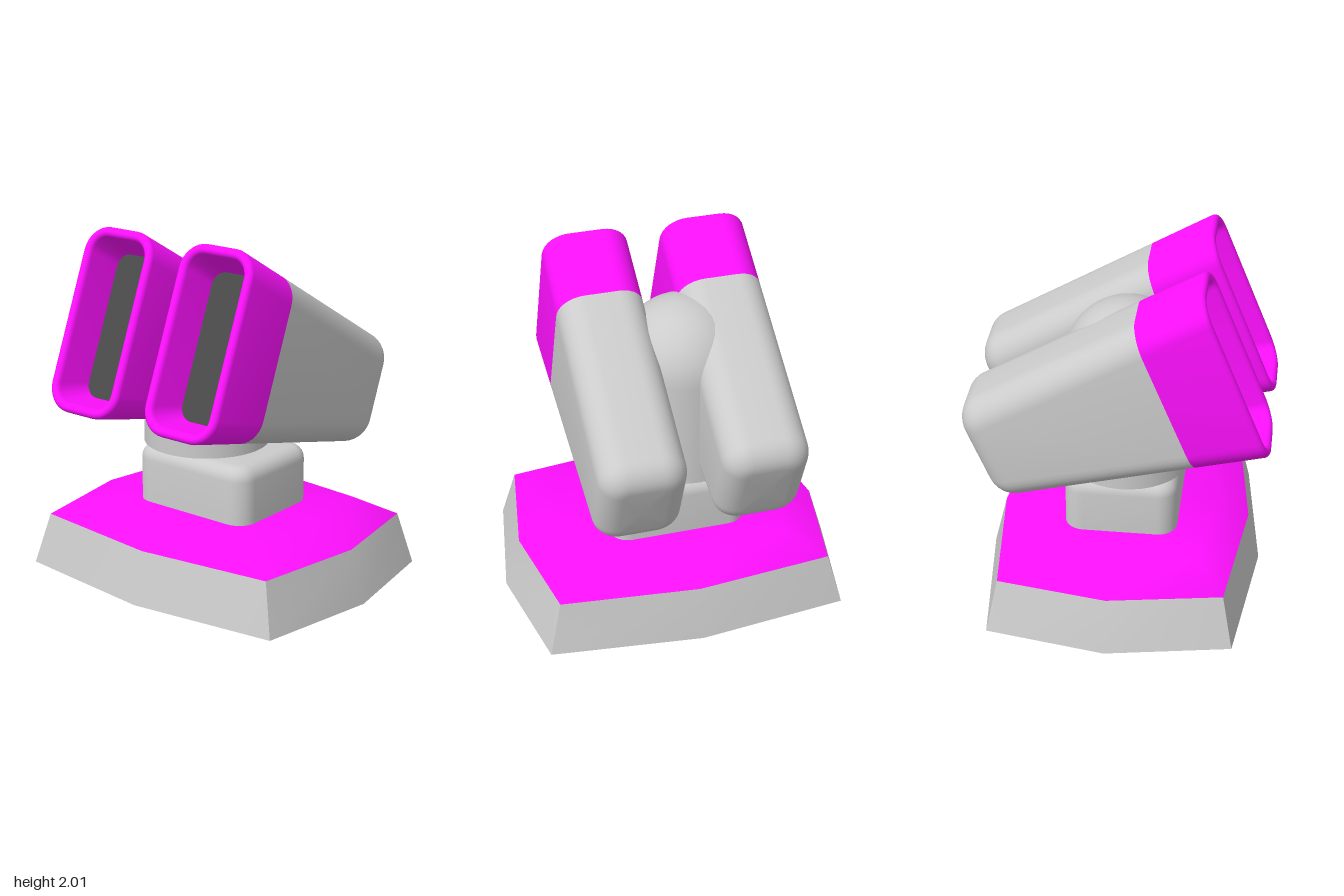
import * as THREE from 'three';
import { toCreasedNormals } from 'three/addons/utils/BufferGeometryUtils.js';

const grey = new THREE.MeshStandardMaterial({ color: 0xcccccc });
const magenta = new THREE.MeshStandardMaterial({ color: 0xff10ff });
const dark = new THREE.MeshStandardMaterial({ color: 0x4a4a4a });

function mesh(name, geometry, material) {
  const m = new THREE.Mesh(geometry, material);
  m.name = name;
  return m;
}

// Skin over counter-clockwise rings of [x, y, z] stacked along +z, with optional caps
function loft(rings, capStart, capEnd, crease = 0.6) {
  const n = rings[0].length;
  const pos = rings.flat(2);
  const index = [];
  for (let i = 0; i < rings.length - 1; i++) {
    for (let j = 0; j < n; j++) {
      const k = (j + 1) % n;
      const a = i * n + j, b = i * n + k, c = b + n, d = a + n;
      index.push(a, b, c, a, c, d);
    }
  }
  const cap = (r, flip) => {
    const centre = pos.length / 3;
    for (let axis = 0; axis < 3; axis++) {
      pos.push(rings[r].reduce((sum, p) => sum + p[axis], 0) / n);
    }
    for (let j = 0; j < n; j++) {
      const a = r * n + j, b = r * n + (j + 1) % n;
      index.push(centre, flip ? b : a, flip ? a : b);
    }
  };
  if (capStart) cap(0, true);
  if (capEnd) cap(rings.length - 1, false);
  const g = new THREE.BufferGeometry();
  g.setAttribute('position', new THREE.Float32BufferAttribute(pos, 3));
  g.setIndex(index);
  return toCreasedNormals(g, crease);
}

// Rounded rectangle ring with half width w, half height h and corner radius r
function roundRing(w, h, r, z, segs = 8) {
  const ring = [];
  for (let q = 0; q < 4; q++) {
    const sx = q === 0 || q === 3 ? 1 : -1;
    const sy = q < 2 ? 1 : -1;
    for (let i = 0; i <= segs; i++) {
      const a = (q + i / segs) * Math.PI / 2;
      ring.push([sx * (w - r) + r * Math.cos(a), sy * (h - r) + r * Math.sin(a), z]);
    }
  }
  return ring;
}

// Eight-sided bowed ring for the base: side, corner and front/back reach
function baseRing(side, cornerX, front, back, cornerF, cornerB, z) {
  return [[side, 0], [cornerX, cornerB], [0, back], [-cornerX, cornerB],
    [-side, 0], [-cornerX, -cornerF], [0, -front], [cornerX, -cornerF]].map(([x, y]) => [x, y, z]);
}

// Pod dimensions, measured along its own axis
const W = 0.245, R = 0.15, BACK = -0.34, SEAM = 0.784, FRONT = 1.195;
const podHeight = z => 0.467 + (z - SEAM) * 0.142;

function createPod(name, x) {
  const pod = new THREE.Group();
  pod.name = name;

  // Tapered housing with a rounded rear end
  const body = [];
  const fillet = 0.12, steps = 8;
  for (let i = 0; i <= steps; i++) {
    const a = i / steps * Math.PI / 2;
    const inset = fillet * (1 - Math.sin(a));
    const z = BACK + fillet * (1 - Math.cos(a));
    body.push(roundRing(W - inset, podHeight(z) - inset, R - inset, z));
  }
  body.push(roundRing(W, podHeight(SEAM), R, SEAM));

  // Coloured muzzle: outer wall, rounded lip, then the recess wall
  const muzzle = [roundRing(W, podHeight(SEAM), R, SEAM)];
  const lip = 0.028;
  for (let i = 0; i <= 8; i++) {
    const a = i / 8 * Math.PI;
    const inset = lip * (1 - Math.cos(a));
    const z = FRONT - lip + lip * Math.sin(a);
    muzzle.push(roundRing(W - inset, podHeight(FRONT - lip) - inset, R - inset, z));
  }
  muzzle.push(roundRing(0.156, 0.41, 0.08, 0.98));

  // Dark panel closing the recess
  const panel = new THREE.ShapeGeometry(new THREE.Shape(
    roundRing(0.157, 0.411, 0.08, 0).map(([px, py]) => new THREE.Vector2(px, py))));
  panel.translate(0, 0, 0.981);

  const tilted = new THREE.Group();
  tilted.name = name + 'Shell';
  tilted.add(
    mesh('podBody', loft(body, true, false), grey),
    mesh('podMuzzle', loft(muzzle, false, false), magenta),
    mesh('podPanel', panel, dark));
  tilted.children.forEach(m => { m.position.y = 1.168; });
  tilted.rotation.x = -THREE.MathUtils.degToRad(22.2);
  pod.add(tilted);
  pod.position.x = x;
  return pod;
}

export function createModel() {
  const model = new THREE.Group();
  model.name = 'twinPodTurret';

  // Base plinth and its sloping coloured deck
  const foot = baseRing(0.98, 0.86, 0.805, 0.775, 0.70, 0.68, 0);
  const rim = baseRing(0.89, 0.785, 0.735, 0.70, 0.64, 0.62, 0.3);
  const deck = baseRing(0.65, 0.575, 0.56, 0.51, 0.49, 0.455, 0.405);
  const plinth = mesh('basePlinth', loft([foot, rim], true, false), grey);
  const top = mesh('baseDeck', loft([rim, deck], false, true), magenta);

  // Neck block with rounded corners and top edge
  const neckRings = [roundRing(0.395, 0.32, 0.11, 0.38)];
  for (let i = 0; i <= 6; i++) {
    const a = i / 6 * Math.PI / 2;
    const inset = 0.08 * (1 - Math.cos(a));
    neckRings.push(roundRing(0.395 - inset, 0.32 - inset, 0.11 - inset, 0.655 + 0.08 * Math.sin(a)));
  }
  const neck = mesh('neckBlock', loft(neckRings, false, true), grey);
  neck.position.z = 0.02;
  [plinth, top, neck].forEach(m => { m.rotation.x = -Math.PI / 2; });

  // Domed swivel post between the pods
  const profile = [new THREE.Vector2(0, 0.75), new THREE.Vector2(0.36, 0.75)];
  for (let i = 0; i <= 12; i++) {
    const a = i / 12 * Math.PI / 2;
    profile.push(new THREE.Vector2(i === 12 ? 0 : 0.36 * Math.cos(a), 1.38 + 0.36 * Math.sin(a)));
  }
  const swivel = mesh('swivelDome', toCreasedNormals(new THREE.LatheGeometry(profile, 40), 0.6), grey);
  swivel.position.set(-0.102, 0, 0.038);

  model.add(plinth, top, neck, swivel, createPod('leftPod', 0.337), createPod('rightPod', -0.343));
  return model;
}
